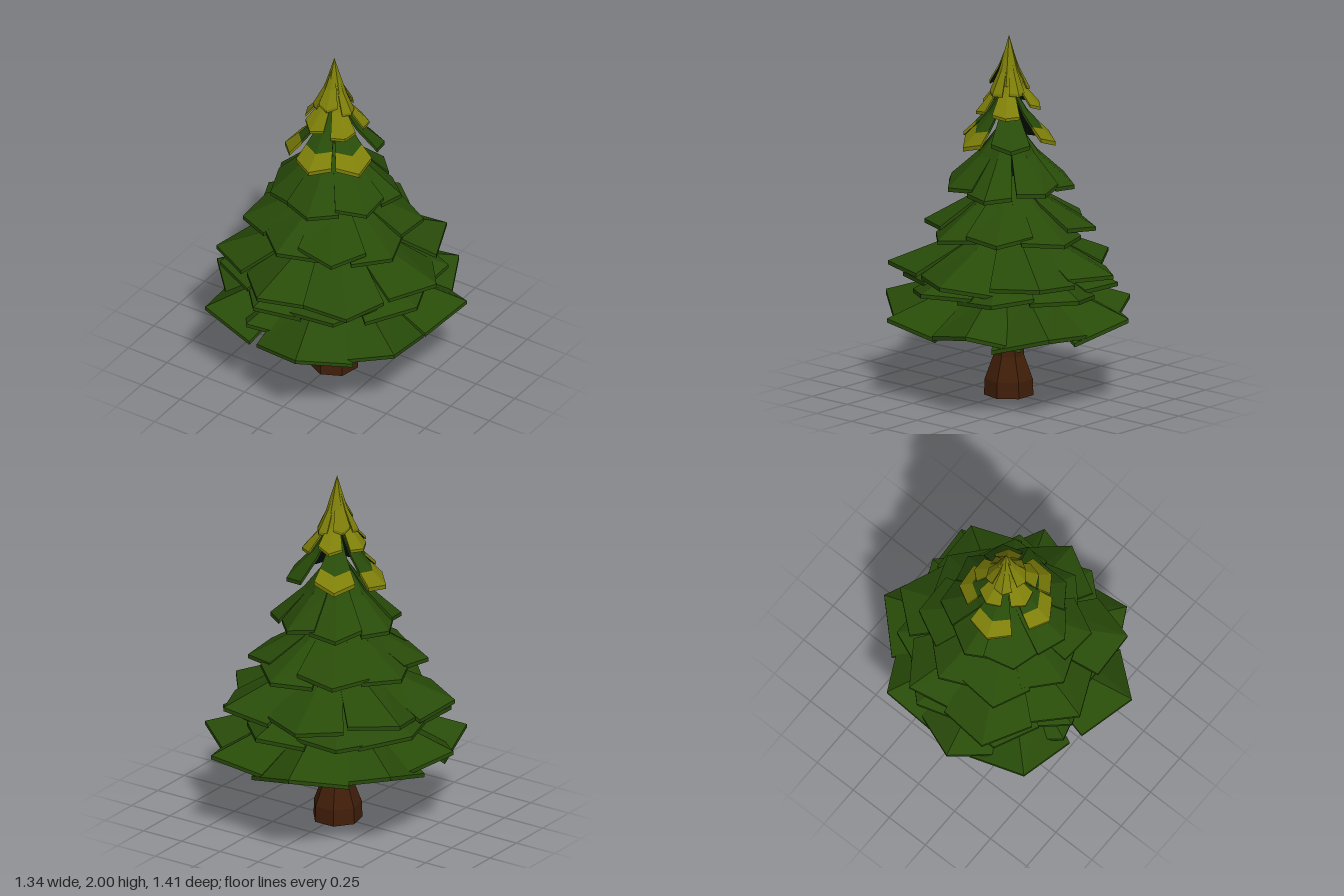
import * as THREE from 'three';

const material = (name, color) => {
  const m = new THREE.MeshStandardMaterial({ color, flatShading: true });
  m.name = name;
  return m;
};

function seeded(seed) {
  return () => {
    seed = (seed * 16807) % 2147483647;
    return seed / 2147483647;
  };
}

// Folded branch plate through the stations ts (0 = trunk, 1 = tip); group 0 = top and rim, group 1 = underside
function boughStrip(b, ts) {
  const top = [], under = [];
  const cos = Math.cos(b.angle), sin = Math.sin(b.angle);
  const section = (t) => [-1, 0, 1].map((s) => {
    const side = Math.abs(s);
    const r = b.r0 + (b.r - b.r0) * t - side * b.back * t;
    const w = s * b.w * (0.18 + 0.82 * t);
    const y = b.top + (b.y - b.top) * Math.pow(t, 0.78) + (side * b.dy + s * b.twist) * t;
    return [new THREE.Vector3(r * cos - w * sin, y, r * sin + w * cos),
      new THREE.Vector3(r * cos - w * sin, y - b.thick, r * sin + w * cos)];
  });
  const quad = (list, p, q, r, s) => list.push(p, q, r, p, r, s);
  const rows = ts.map(section);
  for (let i = 0; i + 1 < rows.length; i++) {
    const a = rows[i], c = rows[i + 1];
    for (let j = 0; j < 2; j++) {
      quad(top, a[j][0], a[j + 1][0], c[j + 1][0], c[j][0]);
      quad(under, c[j][1], c[j + 1][1], a[j + 1][1], a[j][1]);
    }
    quad(top, c[2][0], a[2][0], a[2][1], c[2][1]);
    quad(top, a[0][0], c[0][0], c[0][1], a[0][1]);
  }
  const end = rows[rows.length - 1];
  for (let j = 0; j < 2; j++) quad(top, end[j][0], end[j + 1][0], end[j + 1][1], end[j][1]);
  const geo = new THREE.BufferGeometry().setFromPoints([...top, ...under]);
  geo.addGroup(0, top.length, 0);
  geo.addGroup(top.length, under.length, 1);
  geo.computeVertexNormals();
  return geo;
}

export function createModel() {
  const tree = new THREE.Group();
  tree.name = 'pineTree';
  const bark = material('bark', 0x401e09);
  const green = material('needleGreen', 0x284b09);
  const dark = material('shadeGreen', 0x05180b);
  const yellow = material('freshYellow', 0x7e7f09);
  const rand = seeded(4217);
  const jitter = (n) => (rand() - 0.5) * 2 * n;

  const add = (parent, name, geo, mat) => {
    const mesh = new THREE.Mesh(geo, mat);
    mesh.name = name;
    parent.add(mesh);
    return mesh;
  };

  // Flared trunk
  const trunkProfile = [[0, 0], [0.137, 0], [0.133, 0.09], [0.085, 0.22], [0.066, 0.48], [0.05, 0.75]];
  add(tree, 'trunk', new THREE.LatheGeometry(trunkProfile.map(([x, y]) => new THREE.Vector2(x, y)), 7), bark);

  // Bare twigs under the lowest tier
  for (const [x, z] of [[0.17, -0.06], [-0.12, -0.14], [-0.05, 0.18]]) {
    const path = new THREE.LineCurve3(new THREE.Vector3(0, 0.44, 0), new THREE.Vector3(x, 0.53, z));
    add(tree, 'twig', new THREE.TubeGeometry(path, 1, 0.012, 4), bark);
  }

  // Dark heart behind the boughs
  const core = add(tree, 'core', new THREE.ConeGeometry(0.14, 1.0, 7), dark);
  core.position.y = 1.17;

  // Bough tips [x, z] of the two uneven tiers; the others are spread evenly
  const lowestTips = [[-0.17, -0.71], [0.39, -0.63], [0.67, -0.28], [0.61, 0.34], [0.21, 0.7],
    [-0.2, 0.56], [-0.49, 0.52], [-0.67, 0.13], [-0.59, -0.35]];
  const bandedTips = [[0.02, 0.285], [0.24, 0.12], [0.2, -0.19], [-0.13, -0.22], [-0.265, 0.08]];
  const ring = (count, startDegrees, radius) => Array.from({ length: count }, (_, i) => {
    const a = THREE.MathUtils.degToRad(startDegrees) + (i / count) * Math.PI * 2 + jitter(0.06);
    const r = radius * (1 + jitter(0.05));
    return [r * Math.cos(a), r * Math.sin(a)];
  });

  // top = height at the trunk, y = height of the tips, w = half width, back and dy = offset of the corners
  const tiers = [
    { name: 'lowestTier', tips: lowestTips, top: 0.78, y: 0.49, w: 0.26, back: 0.18, dy: -0.07 },
    { name: 'secondTier', tips: ring(8, 13, 0.6), top: 0.92, y: 0.645, w: 0.23, back: 0.15, dy: -0.015 },
    { name: 'thirdTier', tips: ring(7, -3, 0.63), top: 1.04, y: 0.735, w: 0.23, back: 0.16, dy: -0.015 },
    { name: 'fourthTier', tips: ring(8, 12, 0.48), top: 1.26, y: 0.935, w: 0.19, back: 0.12, dy: 0.015 },
    { name: 'fifthTier', tips: ring(7, -21, 0.36), top: 1.52, y: 1.175, w: 0.145, back: 0.08, dy: 0.02 },
    { name: 'sixthTier', tips: bandedTips, top: 1.7, y: 1.405, w: 0.11, back: 0.06, dy: 0.03, banded: true },
    { name: 'seventhTier', tips: ring(5, 35, 0.18), top: 1.82, y: 1.6, w: 0.07, back: 0.035, dy: 0.015, fresh: true },
    { name: 'topTier', tips: ring(5, 6, 0.115), top: 1.93, y: 1.71, w: 0.05, back: 0.025, dy: 0.012, fresh: true },
  ];

  for (const tier of tiers) {
    const group = new THREE.Group();
    group.name = tier.name;
    tree.add(group);
    tier.tips.forEach(([x, z], i) => {
      const bough = {
        angle: Math.atan2(z, x), r: Math.hypot(x, z), r0: tier.fresh ? 0.012 : 0.03,
        y: tier.y + jitter(0.02), top: tier.top + jitter(0.015),
        w: tier.w * (1 + jitter(0.1)), back: tier.back,
        dy: tier.dy + (i % 2 ? 0.008 : -0.008), twist: jitter(tier.w * 0.1),
        thick: tier.fresh ? 0.016 : 0.022,
      };
      // The back right bough of the banded tier has no yellow tip
      if (tier.banded && i !== 2) {
        add(group, 'bough', boughStrip(bough, [0, 0.35, 0.69]), [green, dark]);
        add(group, 'boughTip', boughStrip(bough, [0.69, 1]), [yellow, dark]);
      } else {
        add(group, 'bough', boughStrip(bough, [0, 0.45, 1]), [tier.fresh ? yellow : green, dark]);
      }
    });
  }

  // Pointed crown
  const crown = add(tree, 'crown', new THREE.ConeGeometry(0.08, 0.27, 6), yellow);
  crown.position.y = 1.865;
  return tree;
}
